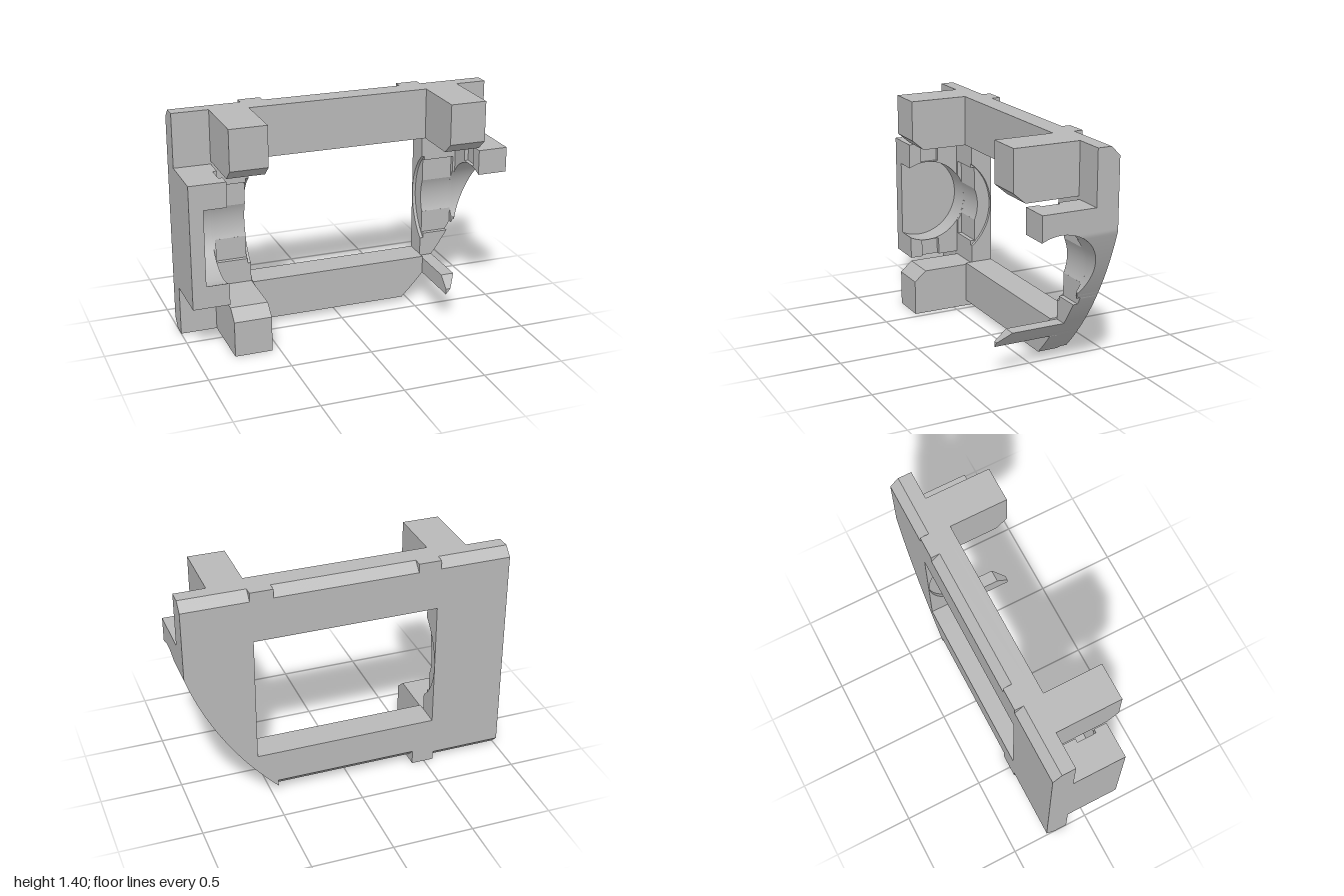
import * as THREE from 'three';
import { toCreasedNormals } from 'three/addons/utils/BufferGeometryUtils.js';

// large arc trimming the lower left corner of the frame
const CX = -1.079, CY = 1.608, R = 2.19;
const arcX = y => CX + Math.sqrt(R * R - (y - CY) ** 2);
const arcY = x => CY - Math.sqrt(R * R - (x - CX) ** 2);

// round pocket running along x
const PY = 0.68, PZ = 0.08, PR = 0.265;
const half = (y, r = PR) => Math.sqrt(Math.max(0, r * r - (y - PY) ** 2));
const BACK = -0.275, FACE = -0.135, LIP = 0.2, BAR = -0.09, NOSE = 0.275;

export function createModel() {
  const model = new THREE.Group();
  const grey = new THREE.MeshStandardMaterial({ color: 0xb8b8b8 });
  grey.name = 'grey';
  const val = (v, y) => (typeof v === 'function' ? v(y) : v);

  // box whose back and front follow rules of height, trimmed by the arc
  function column(name, x0, x1, y0, y1, back, front) {
    y0 = Math.max(y0, x0 > 0.44 ? arcY(x0) : 0);
    if (y1 <= y0) return;
    const trimmed = x1 > arcX(y0);
    const n = trimmed || typeof back === 'function' || typeof front === 'function' ? 24 : 1;
    const g = new THREE.BoxGeometry(1, 1, 1, 1, n, 1);
    const p = g.attributes.position;
    for (let i = 0; i < p.count; i++) {
      const t = (1 - Math.cos(Math.PI * (p.getY(i) + 0.5))) / 2;
      const y = y0 + (y1 - y0) * t;
      const x = p.getX(i) < 0 ? x0 : Math.max(x0, Math.min(x1, arcX(y)));
      p.setXYZ(i, x, y, val(p.getZ(i) < 0 ? back : front, y));
    }
    const mesh = new THREE.Mesh(toCreasedNormals(g, 0.4), grey);
    mesh.name = name;
    model.add(mesh);
  }

  // top rail, with a rear bevel interrupted by two tabs
  column('topRail', -1, 1, 1.09, 1.35, BACK, FACE);
  const topBevel = y => BACK + (y - 1.35);
  [[-1, -0.56, 1], [-0.56, -0.42, 0], [-0.42, 0.46, 1], [0.46, 0.6, 0], [0.6, 1, 1]].forEach(([a, b, bevel]) =>
    column(bevel ? 'topBevel' : 'topTab', a, b, 1.35, 1.405, bevel ? topBevel : BACK, FACE));
  column('topBar', -0.545, 0.585, 1.09, 1.405, FACE, BAR);

  // bottom rail with matching bevel and tabs
  column('bottomBevel', -1, -0.56, 0, 0.055, y => BACK + 0.055 - y, FACE);
  column('bottomRail', -1, -0.56, 0.055, 0.295, BACK, FACE);
  column('bottomTab', -0.56, -0.42, 0, 0.295, BACK, FACE);
  column('bottomBevel', -0.42, 0.46, 0.035, 0.09, y => BACK + 0.09 - y, FACE);
  column('bottomRail', -0.42, 0.46, 0.09, 0.295, BACK, FACE);
  column('bottomTab', 0.46, 0.6, 0.035, 0.295, BACK, FACE);
  column('bottomRail', 0.6, 1, 0.1, 0.295, BACK, FACE);
  column('bottomBar', -0.545, 0.585, 0.035, 0.295, FACE, BAR);

  // four corner blocks with bevelled noses
  const slope = 0.075 / 0.065;
  for (const [a, b] of [[-0.775, -0.545], [0.585, 0.81]]) {
    column('topBlock', a, b, 1.155, 1.405, FACE, NOSE);
    column('topBlockNose', a, b, 1.09, 1.155, FACE, y => LIP + (y - 1.09) * slope);
    column('bottomBlock', a, b, 0, 0.22, FACE, NOSE);
    column('bottomBlockNose', a, b, 0.22, 0.285, FACE, y => NOSE - (y - 0.22) * slope);
  }

  // side posts and pocket holders; mirrored about x = 0.02
  const span = (s, a, b) => (s < 0 ? [0.02 - b, 0.02 - a] : [0.02 + a, Math.min(1, 0.02 + b)]);
  const groove = y => PZ - half(y);
  const shallow = y => Math.min(FACE, groove(y));
  const ring = y => Math.min(FACE, PZ - half(y, 0.35));
  for (const s of [-1, 1]) {
    // thin wide recess beside the window
    const edge = span(s, 0.565, 0.585);
    column('postEdge', ...edge, 0.295, 0.405, BACK, FACE);
    column('postEdge', ...edge, 0.405, 0.955, BACK, ring);
    column('postEdge', ...edge, 0.955, 1.09, BACK, FACE);

    // flat recess broken by the round groove
    const flat = span(s, 0.585, 0.78);
    [[0.295, 0.435, FACE], [0.435, 0.575, -0.163], [0.575, 0.785, groove], [0.785, 0.93, -0.163],
      [0.93, 1.09, FACE]].forEach(([a, b, f]) => column('post', ...flat, a, b, BACK, f));

    const strip = span(s, 0.78, 0.795);
    column('postStrip', ...strip, 0.295, 0.525, BACK, FACE);
    column('postStrip', ...strip, 0.525, 0.835, BACK, shallow);
    column('postStrip', ...strip, 0.835, 1.09, BACK, FACE);

    // round pocket
    const pocket = span(s, 0.795, s < 0 ? 0.935 : 1.02);
    column('pocketBase', ...pocket, 0.295, PY - PR, BACK, FACE);
    column('pocket', ...pocket, PY - PR, PY + PR, BACK, groove);
    column('pocketTop', ...pocket, PY + PR, 1.09, BACK, FACE);
    const gap = Math.sqrt(PR * PR - (LIP - PZ) ** 2);
    const lip = y => PZ + half(y);
    column('pocketLip', ...pocket, PY + gap, PY + PR, lip, LIP);
    if (s < 0) column('pocketLip', ...pocket, PY - PR, PY - gap, lip, LIP);

    // holder above and below the pocket, notched on its inner side
    for (const [a, b] of [[PY + PR, 1.072], [0.305, PY - PR]]) {
      if (s > 0 && a < 0.5) continue;
      column('holder', ...span(s, 0.82, s < 0 ? 0.935 : 1.02), a, b, FACE, LIP);
      column('holderInner', ...span(s, 0.795, 0.82), a, b, FACE, 0);
      column('holderInner', ...span(s, 0.795, 0.82), a, b, 0.12, LIP);
    }
  }

  // closed outer wall of the right pocket
  column('outerPost', -1, -0.915, 0.295, 1.09, BACK, FACE);
  column('outerWall', -1, -0.915, 0.305, 1.072, FACE, LIP);
  return model;
}
